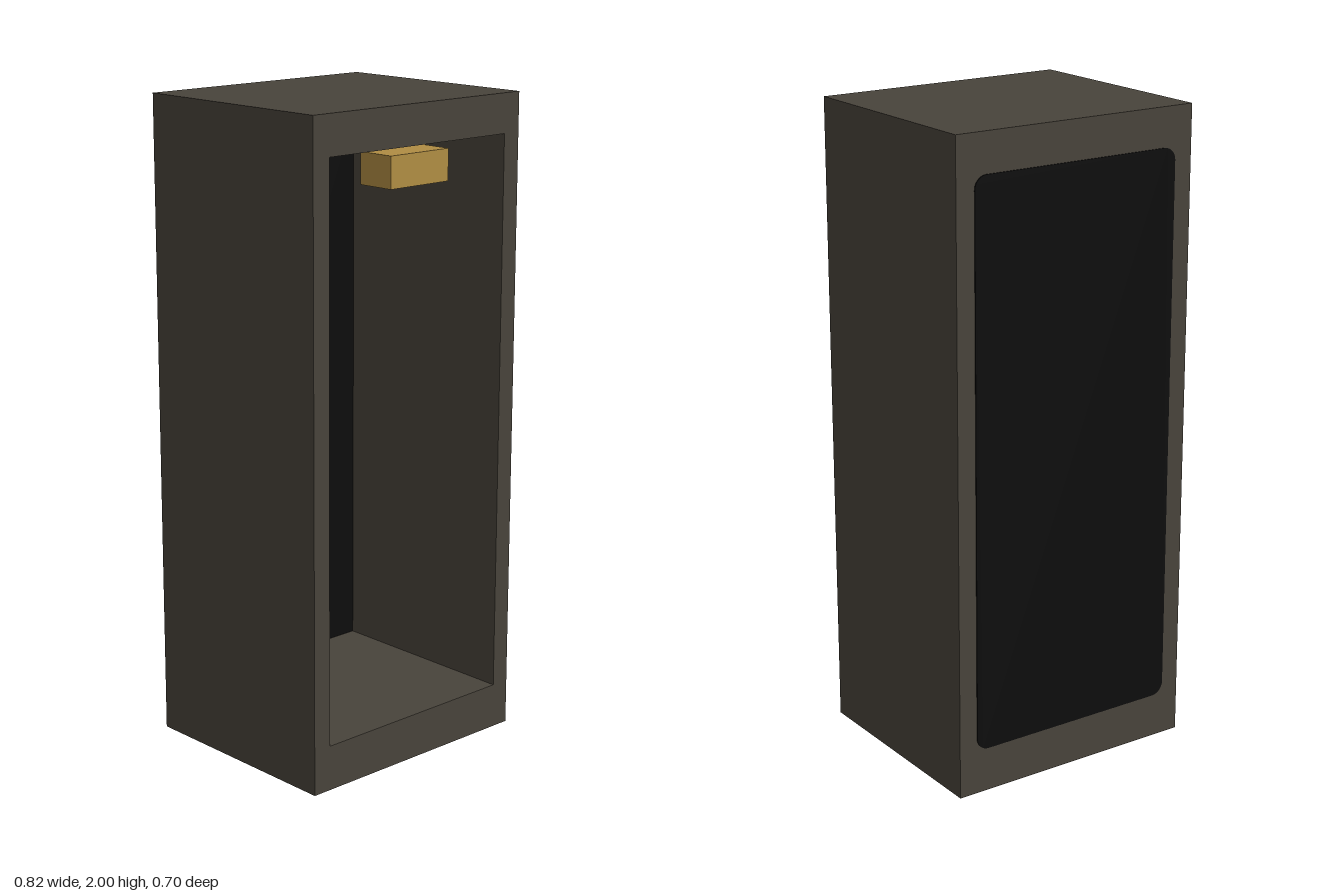
import * as THREE from 'three';

export function createModel() {
  const model = new THREE.Group();
  model.name = 'cabinet';
  const paint = (name, color) => {
    const material = new THREE.MeshStandardMaterial({ color });
    material.name = name;
    return material;
  };
  const brown = paint('dark brown', 0x48433b);
  const black = paint('black', 0x0d0d0d);
  const gold = paint('brass', 0xb08d43);

  const add = (name, geometry, material, x, y, z) => {
    const mesh = new THREE.Mesh(geometry, material);
    mesh.name = name;
    mesh.position.set(x, y, z);
    model.add(mesh);
  };
  const box = (name, material, w, h, d, y, z) =>
    add(name, new THREE.BoxGeometry(w, h, d), material, 0, y, z);

  // Rectangle outline, with rounded corners when r > 0
  const outline = (Type, x, y0, y1, r = 0) => {
    const p = new Type();
    if (!r) {
      p.moveTo(-x, y0).lineTo(x, y0).lineTo(x, y1).lineTo(-x, y1);
    } else {
      p.moveTo(-x + r, y0).lineTo(x - r, y0);
      p.absarc(x - r, y0 + r, r, -Math.PI / 2, 0);
      p.absarc(x - r, y1 - r, r, 0, Math.PI / 2);
      p.absarc(-x + r, y1 - r, r, Math.PI / 2, Math.PI);
      p.absarc(-x + r, y0 + r, r, Math.PI, Math.PI * 1.5);
    }
    p.closePath();
    return p;
  };
  const extrude = (shape, depth) =>
    new THREE.ExtrudeGeometry(shape, { depth, bevelEnabled: false, curveSegments: 8 });

  // Hollow case: sides, top and base around the front opening
  const frame = outline(THREE.Shape, 0.41, 0, 2);
  frame.holes.push(outline(THREE.Path, 0.35, 0.14, 1.88));
  add('caseShell', extrude(frame, 0.699), brown, 0, 0, -0.349);

  // Closed back with a dark lining inside and a rounded panel outside
  box('backBoard', brown, 0.7, 1.74, 0.047, 1.01, -0.3255);
  box('innerLining', black, 0.7, 1.74, 0.004, 1.01, -0.3);
  add('backPanel', extrude(outline(THREE.Shape, 0.35, 0.14, 1.88, 0.04), 0.004), black, 0, 0, -0.352);

  // Brass plaque on the lining and brass block under the top
  box('plaque', gold, 0.36, 0.355, 0.006, 1.1225, -0.295);
  box('brassBlock', gold, 0.23, 0.095, 0.124, 1.8125, 0.288);
  return model;
}
